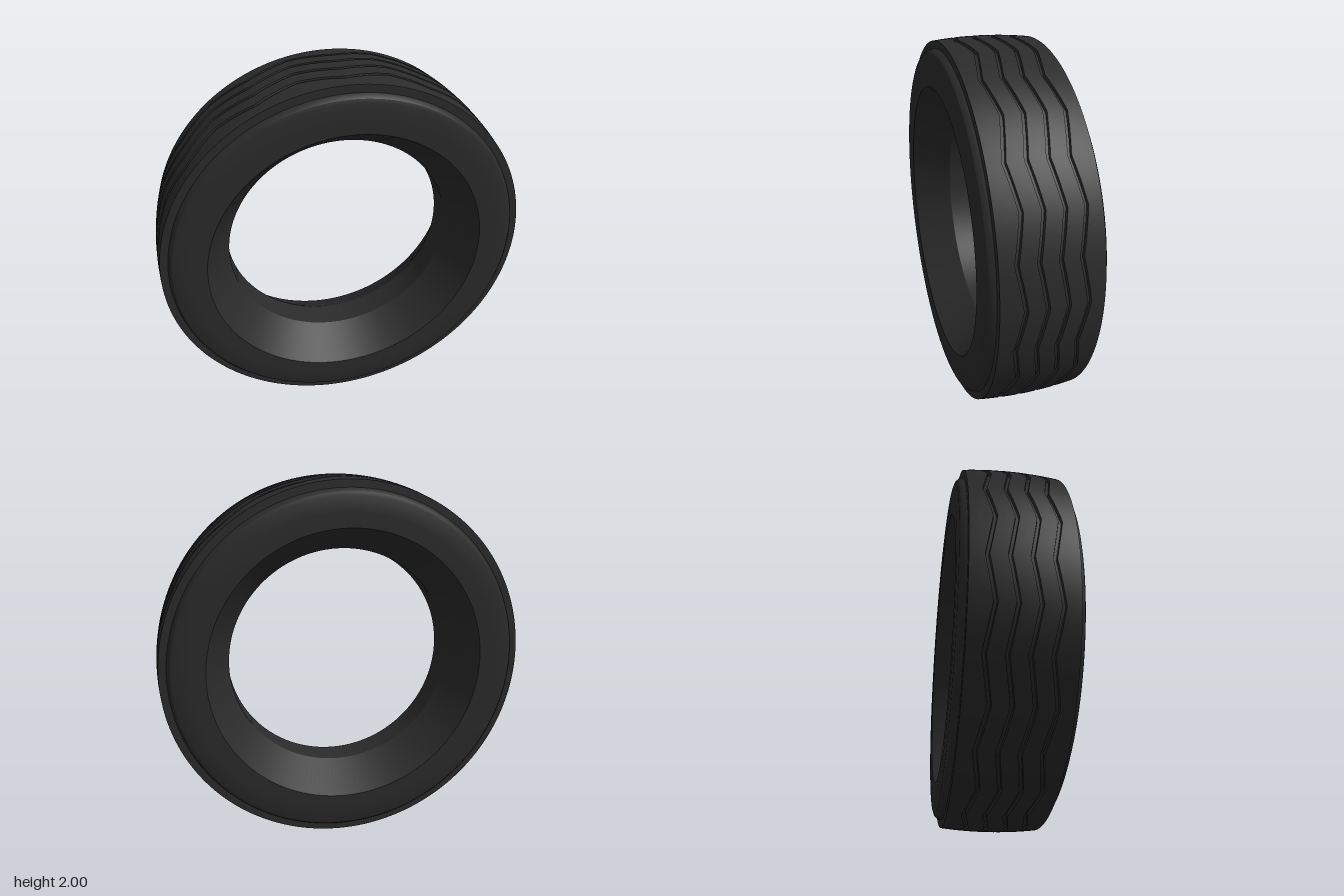
import * as THREE from 'three';
import { toCreasedNormals } from 'three/addons/utils/BufferGeometryUtils.js';

const WAVES = 14;            // zigzags around the tread
const SEGMENTS = WAVES * 12;

// Sweeps a cross-section of [radius, z] points, which may vary with the angle, round the axle.
function sweep(sectionAt) {
  const positions = [];
  const indices = [];
  let count = 0;
  for (let i = 0; i <= SEGMENTS; i++) {
    const turn = (i % SEGMENTS) / SEGMENTS;
    const angle = turn * Math.PI * 2;
    const section = sectionAt(turn);
    count = section.length;
    for (const [r, z] of section) positions.push(r * Math.cos(angle), r * Math.sin(angle), z);
  }
  for (let i = 0; i < SEGMENTS; i++) {
    for (let j = 0; j < count - 1; j++) {
      const a = i * count + j;
      const b = a + count;
      indices.push(a, a + 1, b, b, a + 1, b + 1);
    }
  }
  const geometry = new THREE.BufferGeometry();
  geometry.setAttribute('position', new THREE.Float32BufferAttribute(positions, 3));
  geometry.setIndex(indices);
  return toCreasedNormals(geometry, 0.42);
}

// Slightly crowned tread with four zigzag grooves.
function treadSection(turn) {
  const phase = (turn * WAVES) % 1;
  const zigzag = 0.02 * (4 * Math.abs(phase - 0.5) - 1);
  const crown = (z) => 0.985 + 0.015 * (1 - (z / 0.25) ** 2);
  const points = [[0.945, 0.25], [crown(0.25), 0.25], [crown(0.21), 0.21]];
  for (const centre of [0.15, 0.05, -0.05, -0.15]) {
    const z = centre - zigzag;
    for (const [offset, depth] of [[0.01, 0], [0.007, 0.016], [-0.007, 0.016], [-0.01, 0]]) {
      points.push([crown(z + offset) - depth, z + offset]);
    }
    if (centre > -0.1) points.push([crown(z - 0.05), z - 0.05]);
  }
  points.push([crown(0.21), -0.21], [crown(0.25), -0.25], [0.945, -0.25]);
  return points;
}

export function createModel() {
  const rubber = new THREE.MeshStandardMaterial({ color: 0x2b2b2b });
  rubber.name = 'black rubber';

  const tire = new THREE.Group();
  tire.name = 'tire';
  const add = (name, sectionAt) => {
    const mesh = new THREE.Mesh(sweep(sectionAt), rubber);
    mesh.name = name;
    tire.add(mesh);
  };

  // Half sections run from the tread edge to the bead; the far side mirrors the near one.
  const wall = [[0.945, 0.25], [0.938, 0.268], [0.927, 0.28], [0.91, 0.286], [0.83, 0.289], [0.75, 0.288]];
  const bead = [[0.75, 0.288], [0.62, 0.077]];
  const back = (half) => half.map(([r, z]) => [r, -z]);
  const front = (half) => half.slice().reverse();

  add('tread', treadSection);
  add('frontSidewall', () => front(wall));
  add('backSidewall', () => back(wall));
  add('frontBead', () => front(bead));
  add('backBead', () => back(bead));
  add('innerBand', () => [[0.62, -0.077], [0.62, 0.077]]);

  // Stand the tire on the ground.
  tire.position.y = 1;
  const model = new THREE.Group();
  model.name = 'tireModel';
  model.add(tire);
  return model;
}
